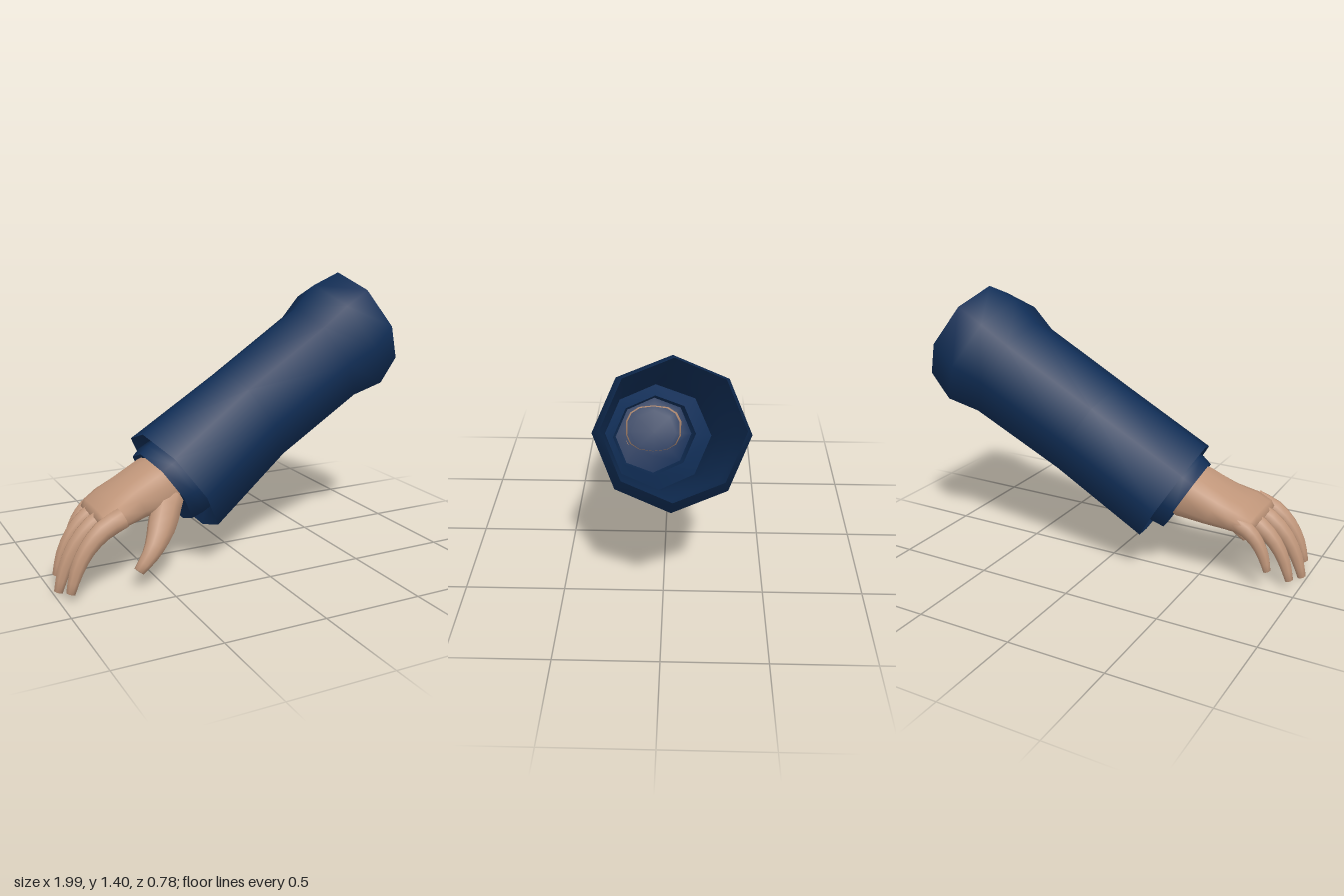
import * as THREE from 'three';

const navy = new THREE.MeshStandardMaterial({ color: 0x102d55, side: THREE.DoubleSide });
const skin = new THREE.MeshStandardMaterial({ color: 0xc0967a });

// Skins cross-sections { c: centre, u: up half-axis, s: side half-axis }, running towards -x.
function loft(name, material, sections, sides, { square = 1, capStart = false, capEnd = false } = {}) {
  const pos = [], index = [];
  const bend = v => Math.sign(v) * Math.pow(Math.abs(v), square);
  for (const { c, u, s } of sections) {
    for (let j = 0; j < sides; j++) {
      const a = (j / sides) * Math.PI * 2;
      pos.push(...c.clone().addScaledVector(u, bend(Math.cos(a))).addScaledVector(s, bend(Math.sin(a))).toArray());
    }
  }
  for (let i = 0; i < sections.length - 1; i++) {
    for (let j = 0; j < sides; j++) {
      const k = (j + 1) % sides;
      const a = i * sides + j, b = i * sides + k, c = a + sides, d = b + sides;
      index.push(a, c, b, b, c, d);
    }
  }
  const cap = (ring, flip) => {
    const mid = pos.length / 3;
    pos.push(...sections[ring].c.toArray());
    for (let j = 0; j < sides; j++) {
      const a = ring * sides + j, b = ring * sides + (j + 1) % sides;
      index.push(mid, ...(flip ? [a, b] : [b, a]));
    }
  };
  if (capStart) cap(0, true);
  if (capEnd) cap(sections.length - 1, false);
  const geo = new THREE.BufferGeometry();
  geo.setAttribute('position', new THREE.Float32BufferAttribute(pos, 3));
  geo.setIndex(index);
  geo.computeVertexNormals();
  const mesh = new THREE.Mesh(geo, material);
  mesh.name = name;
  return mesh;
}

// Section from its top and bottom points in profile, plus depth centre, half depth and tilt
function ring(tx, ty, bx, by, z, half, tilt = 0) {
  return {
    c: new THREE.Vector3((tx + bx) / 2, (ty + by) / 2, z),
    u: new THREE.Vector3((tx - bx) / 2, (ty - by) / 2, 0),
    s: new THREE.Vector3(tilt * half, 0, half),
  };
}

// Finger: tapered tube along a smooth path; radii are [up, side] per point
function digit(name, points, radii) {
  const curve = new THREE.CatmullRomCurve3(points.map(p => new THREE.Vector3(...p)));
  const steps = 8, sections = [];
  for (let i = 0; i <= steps; i++) {
    const t = i / steps, f = t * (radii.length - 1);
    const k = Math.min(Math.floor(f), radii.length - 2);
    const r = [0, 1].map(n => THREE.MathUtils.lerp(radii[k][n], radii[k + 1][n], f - k));
    const d = curve.getTangent(t);
    const u = new THREE.Vector3(d.y, -d.x, 0).normalize();
    const s = new THREE.Vector3().crossVectors(u, d).normalize();
    sections.push({ c: curve.getPoint(t), u: u.multiplyScalar(r[0]), s: s.multiplyScalar(r[1]) });
  }
  return loft(name, skin, sections, 8, { capEnd: true });
}

export function createModel() {
  const model = new THREE.Group();
  model.name = 'sleevedArm';

  // Sleeve, open at the upper end
  const hem = ring(-0.48, 0.67, -0.16, 0.155, 0.07, 0.318, 0.11);
  const cuffBack = ring(-0.455, 0.61, -0.22, 0.235, 0.075, 0.235, 0.11);
  const cuffFront = ring(-0.497, 0.575, -0.275, 0.21, 0.08, 0.215, 0.11);
  model.add(loft('sleeve', navy, [
    ring(0.71, 1.40, 0.995, 0.875, -0.055, 0.305),
    ring(0.555, 1.34, 0.88, 0.745, -0.045, 0.345),
    ring(0.44, 1.225, 0.72, 0.70, -0.035, 0.30),
    ring(-0.02, 0.945, 0.27, 0.45, 0.012, 0.292),
    hem,
  ], 8));

  // Recessed underside of the hem, and the inner cuff around the wrist
  const recess = ring(-0.40, 0.64, -0.15, 0.27, 0.07, 0.23, 0.11);
  model.add(loft('hemFold', navy, [hem, recess], 8));
  model.add(loft('innerCuff', navy, [recess, cuffBack, cuffFront], 8));
  model.add(loft('cuffLining', navy, [cuffFront, ring(-0.43, 0.53, -0.30, 0.31, 0.08, 0.13)], 8, { capEnd: true }));

  // Hand
  const hand = new THREE.Group();
  hand.name = 'hand';
  hand.add(loft('palm', skin, [
    ring(-0.42, 0.56, -0.29, 0.345, 0.08, 0.15),
    ring(-0.49, 0.535, -0.36, 0.295, 0.085, 0.17),
    ring(-0.61, 0.47, -0.52, 0.285, 0.10, 0.175),
    ring(-0.71, 0.42, -0.63, 0.28, 0.13, 0.195),
    ring(-0.775, 0.378, -0.72, 0.265, 0.147, 0.19),
    ring(-0.795, 0.35, -0.755, 0.28, 0.15, 0.165),
  ], 14, { square: 0.8, capEnd: true }));

  // Four fingers: base depth, tip [x, y, z] and thickness
  const fingers = [
    ['littleFinger', -0.015, [-0.862, 0.115, -0.005], 0.85],
    ['ringFinger', 0.085, [-0.947, 0.038, 0.097], 0.95],
    ['middleFinger', 0.195, [-0.975, 0.008, 0.22], 1],
    ['indexFinger', 0.298, [-0.95, 0.04, 0.335], 1],
  ];
  for (const [name, z, tip, w] of fingers) {
    const base = [-0.68, 0.348];
    // Same curl for every finger, stretched from the knuckle to its tip
    const path = [[0, 0], [0.38, 0.14], [0.68, 0.38], [0.88, 0.68], [1, 1]].map(([a, b]) => [
      THREE.MathUtils.lerp(base[0], tip[0], a),
      THREE.MathUtils.lerp(base[1], tip[1], b),
      THREE.MathUtils.lerp(z, tip[2], a),
    ]);
    const radii = [[0.055, 0.05], [0.051, 0.049], [0.042, 0.042], [0.034, 0.036], [0.022, 0.026]];
    hand.add(digit(name, path, radii.map(r => r.map(v => v * w))));
  }

  // Thumb
  hand.add(digit('thumb',
    [[-0.40, 0.37, 0.18], [-0.47, 0.265, 0.27], [-0.545, 0.175, 0.335], [-0.622, 0.09, 0.35]],
    [[0.08, 0.08], [0.075, 0.065], [0.047, 0.045], [0.026, 0.028]]));
  model.add(hand);
  return model;
}
